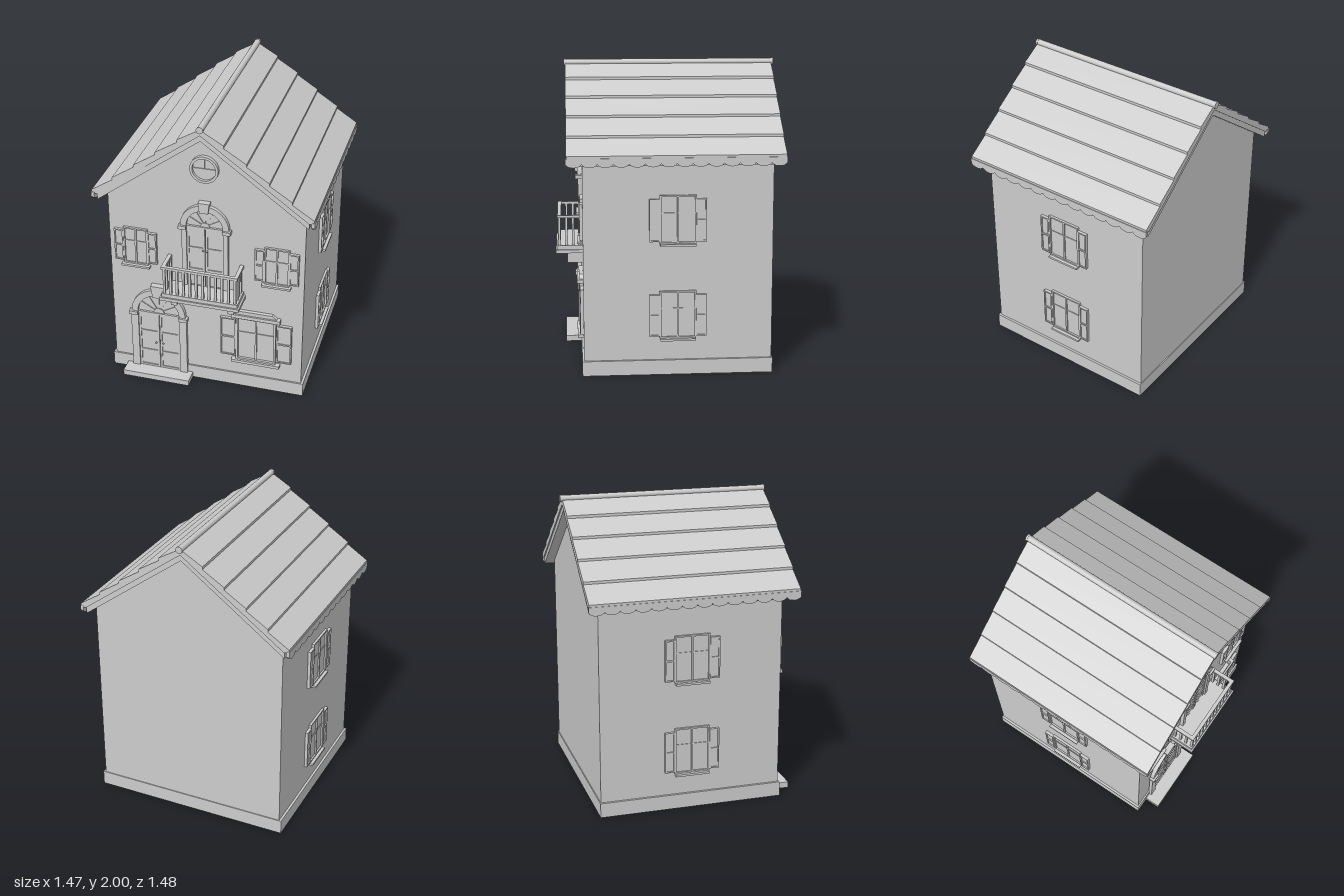
import * as THREE from 'three';

const plaster = new THREE.MeshStandardMaterial({ color: 0xcccccc });
plaster.name = 'plaster grey';

const FRONT = 0.563, BACK = -0.659, SIDE = 0.661;

function add(parent, name, geometry, x = 0, y = 0, z = 0) {
  const mesh = new THREE.Mesh(geometry, plaster);
  mesh.name = name;
  mesh.position.set(x, y, z);
  parent.add(mesh);
  return mesh;
}

// Box given by its limits
function box(parent, name, x0, x1, y0, y1, z0, z1) {
  return add(parent, name, new THREE.BoxGeometry(x1 - x0, y1 - y0, z1 - z0),
    (x0 + x1) / 2, (y0 + y1) / 2, (z0 + z1) / 2);
}

function polygon(points) {
  return new THREE.Shape(points.map(([x, y]) => new THREE.Vector2(x, y)));
}

// Shape in x and y, extruded from z0 to z1
function slab(parent, name, shape, z0, z1) {
  const geometry = new THREE.ExtrudeGeometry(shape, { depth: z1 - z0, bevelEnabled: false, curveSegments: 20 });
  return add(parent, name, geometry, 0, 0, z0);
}

function mirrored(half) {
  return polygon([...half, ...half.slice().reverse().filter(([x]) => x > 0).map(([x, y]) => [-x, y])]);
}

function halfRing(outer, inner, cy) {
  const shape = new THREE.Shape();
  shape.absarc(0, cy, outer, 0, Math.PI, false);
  if (inner > 0) shape.absarc(0, cy, inner, Math.PI, 0, true);
  shape.closePath();
  return shape;
}

// Raised rectangular border
function border(parent, name, x0, x1, y0, y1, w, z0, z1) {
  const shape = polygon([[x0, y0], [x1, y0], [x1, y1], [x0, y1]]);
  shape.holes.push(polygon([[x0 + w, y0 + w], [x0 + w, y1 - w], [x1 - w, y1 - w], [x1 - w, y0 + w]]));
  return slab(parent, name, shape, z0, z1);
}

function shutter(parent, x0, x1, y0, y1) {
  box(parent, 'shutterPanel', x0, x1, y0, y1, 0, 0.012);
  border(parent, 'shutterFrame', x0, x1, y0, y1, 0.009, 0.012, 0.02);
  const mid = (y0 + y1) / 2;
  box(parent, 'shutterRail', x0 + 0.009, x1 - 0.009, mid - 0.005, mid + 0.005, 0.012, 0.02);
}

// Casement window with open shutters and a sill
function shutteredWindow(half, inner, y0, y1, shutterY0, shutterY1, sillY, sillHalf) {
  const g = new THREE.Group();
  g.name = 'shutteredWindow';
  box(g, 'glass', -inner, inner, y0, y1, 0, 0.005);
  border(g, 'windowFrame', -inner, inner, y0, y1, 0.01, 0, 0.016);
  box(g, 'mullion', -0.006, 0.006, y0 + 0.01, y1 - 0.01, 0.004, 0.014);
  for (const s of [-1, 1]) {
    shutter(g, s < 0 ? -half : inner, s < 0 ? -inner : half, shutterY0, shutterY1);
    const y = y0 + (y1 - y0) * 0.62;
    box(g, 'glazingBar', s < 0 ? -inner + 0.01 : 0.006, s < 0 ? -0.006 : inner - 0.01, y, y + 0.006, 0.004, 0.01);
  }
  box(g, 'sill', -sillHalf, sillHalf, sillY, sillY + 0.014, 0, 0.036);
  return g;
}

// Double door under an arched fanlight
function archedDoor(d) {
  const g = new THREE.Group();
  g.name = 'archedDoor';
  const { bottom, spring, inner, outer, jamb, impost, hub, key, knobX, knobY } = d;
  slab(g, 'fanlightGlass', halfRing(inner + 0.002, 0, spring), 0, 0.005);
  slab(g, 'arch', halfRing(outer, inner, spring), 0, 0.028);
  slab(g, 'fanlightHub', halfRing(hub, 0, spring), 0.004, 0.014);
  for (let i = 1; i < 6; i++) {
    const a = i * Math.PI / 6, r = (hub + inner) / 2;
    const bar = add(g, 'fanlightBar', new THREE.BoxGeometry(inner - hub, 0.007, 0.008),
      Math.cos(a) * r, spring + Math.sin(a) * r, 0.008);
    bar.rotation.z = a;
  }
  slab(g, 'keystone', mirrored([[key[0], key[1]], [key[2], key[3]]]), 0, 0.042);
  box(g, 'transom', -inner, inner, spring - 0.014, spring, 0, 0.02);
  for (const s of [-1, 1]) {
    const span = (a, b) => s < 0 ? [-b, -a] : [a, b];
    box(g, 'jamb', ...span(inner, jamb), bottom, spring - 0.025, 0, 0.024);
    box(g, 'impost', ...span(inner, impost), spring - 0.025, spring, 0, 0.042);
    const [x0, x1] = span(0.002, inner), top = spring - 0.014;
    box(g, 'doorLeaf', x0, x1, bottom, top, 0, 0.006);
    border(g, 'doorStile', x0, x1, bottom, top, 0.014, 0.006, 0.013);
    for (const t of [0.3, 0.66]) {
      const y = bottom + (top - bottom) * t;
      box(g, 'doorRail', x0 + 0.014, x1 - 0.014, y - 0.006, y + 0.006, 0.006, 0.013);
    }
    add(g, 'doorKnob', new THREE.SphereGeometry(0.007, 10, 8), s * knobX, knobY, 0.018);
  }
  return g;
}

function place(parent, object, x, z, angle = 0) {
  object.position.set(x, 0, z);
  object.rotation.y = angle;
  parent.add(object);
}

export function createModel() {
  const house = new THREE.Group();
  house.name = 'house';

  // Walls and plinth
  slab(house, 'walls', mirrored([[SIDE, 0.05], [SIDE, 1.415], [0, 1.905]]), BACK, FRONT);
  box(house, 'plinth', -0.677, 0.677, 0, 0.098, -0.665, 0.574);

  // Roof: lower boards, then stepped courses
  slab(house, 'roofBoards', polygon([[0, 1.897], [0.695, 1.38], [0.698, 1.425], [0, 1.942],
    [-0.698, 1.425], [-0.695, 1.38]]), -0.722, 0.655);
  const steps = [[0.73, 1.428], [0.73, 1.45], [0.587, 1.543], [0.587, 1.56], [0.441, 1.655], [0.441, 1.671],
    [0.295, 1.765], [0.295, 1.782], [0.15, 1.872], [0.15, 1.89], [0, 1.978]];
  const under = [[0, 1.938], [0.695, 1.424]];
  for (const s of [-1, 1]) {
    slab(house, 'roofCourses', polygon([...under, ...steps].map(([x, y]) => [s * x, y])), -0.73, 0.662);
  }
  const ridge = add(house, 'ridgeRoll', new THREE.CylinderGeometry(0.021, 0.021, 1.4, 16), 0, 1.977, -0.0375);
  ridge.rotation.x = Math.PI / 2;
  for (const z of [-0.738, 0.663]) {
    const cap = add(house, 'ridgeCap', new THREE.CylinderGeometry(0.023, 0.023, 0.014, 16), 0, 1.977, z);
    cap.rotation.x = Math.PI / 2;
  }

  // Scalloped eaves
  const count = 14, z0 = -0.732, pitch = 1.398 / count;
  const eave = new THREE.Shape();
  eave.moveTo(z0, 1.435);
  eave.lineTo(z0, 1.4);
  for (let i = 0; i < count; i++) {
    const a = z0 + i * pitch;
    eave.bezierCurveTo(a + 0.012, 1.37, a + pitch - 0.012, 1.37, a + pitch, 1.4);
  }
  eave.lineTo(z0 + count * pitch, 1.435);
  for (const s of [-1, 1]) {
    const trim = add(house, 'scallopedEave', new THREE.ExtrudeGeometry(eave,
      { depth: 0.022, bevelEnabled: false, curveSegments: 8 }), s > 0 ? 0.712 : -0.734, 0, 0);
    // Shape x runs along the house, extrusion runs across it
    trim.geometry.rotateY(-Math.PI / 2);
    trim.geometry.translate(0.022, 0, 0);
  }

  // Round gable window
  const rose = new THREE.Group();
  rose.name = 'roundWindow';
  const ring = new THREE.Shape().absarc(0, 1.66, 0.094, 0, Math.PI * 2, false);
  ring.holes.push(new THREE.Path().absarc(0, 1.66, 0.077, 0, Math.PI * 2, true));
  slab(rose, 'roundFrame', ring, 0, 0.026);
  const pane = add(rose, 'roundGlass', new THREE.CylinderGeometry(0.08, 0.08, 0.006, 40), 0, 1.66, 0.003);
  pane.rotation.x = Math.PI / 2;
  box(rose, 'crossBar', -0.078, 0.078, 1.657, 1.663, 0.004, 0.012);
  box(rose, 'uprightBar', -0.003, 0.003, 1.582, 1.738, 0.004, 0.012);
  place(house, rose, 0, FRONT);

  // Doors and entrance step
  place(house, archedDoor({ bottom: 0.765, spring: 1.236, inner: 0.123, outer: 0.164, jamb: 0.156, impost: 0.175,
    hub: 0.031, key: [0.029, 1.353, 0.038, 1.425], knobX: 0.014, knobY: 1.055 }), 0, FRONT);
  place(house, archedDoor({ bottom: 0.04, spring: 0.5, inner: 0.146, outer: 0.19, jamb: 0.197, impost: 0.206,
    hub: 0.037, key: [0.032, 0.64, 0.046, 0.73], knobX: 0.025, knobY: 0.25 }), -0.331, 0.568);
  box(house, 'entranceStep', -0.571, -0.1, 0, 0.04, 0.5, 0.68);

  // Shuttered windows, front and sides
  for (const s of [-1, 1]) {
    place(house, shutteredWindow(0.146, 0.083, 0.872, 1.148, 0.892, 1.127, 0.857, 0.097), s * 0.479, FRONT);
    for (const dy of [0, -0.627]) {
      const side = shutteredWindow(0.184, 0.118, 0.872, 1.186, 0.885, 1.162, 0.857, 0.114);
      place(house, side, s * SIDE, -0.045, s * Math.PI / 2);
      side.position.y = dy;
    }
  }

  // Large ground floor window with hood
  const large = new THREE.Group();
  large.name = 'groundFloorWindow';
  box(large, 'glass', -0.137, 0.137, 0.23, 0.58, 0, 0.008);
  border(large, 'windowFrame', -0.137, 0.137, 0.23, 0.58, 0.014, 0, 0.024);
  box(large, 'mullion', -0.006, 0.006, 0.244, 0.566, 0.006, 0.018);
  for (const [a, b] of [[-0.123, -0.006], [0.006, 0.123]]) box(large, 'glazingBar', a, b, 0.45, 0.458, 0.006, 0.014);
  for (const [a, b] of [[-0.246, -0.141], [0.141, 0.244]]) shutter(large, a, b, 0.252, 0.555);
  box(large, 'sill', -0.167, 0.167, 0.21, 0.231, 0, 0.038);
  box(large, 'cornice', -0.167, 0.167, 0.578, 0.604, 0, 0.038);
  slab(large, 'hood', mirrored([[0.143, 0.604], [0.112, 0.63]]), 0, 0.026);
  place(house, large, 0.347, FRONT);

  // Balcony
  const balcony = new THREE.Group();
  balcony.name = 'balcony';
  box(balcony, 'balconyBase', -0.27, 0.27, 0.725, 0.748, 0.55, 0.738);
  box(balcony, 'balconyFloor', -0.258, 0.258, 0.748, 0.775, 0.55, 0.728);
  box(balcony, 'frontRail', -0.258, 0.258, 0.963, 0.98, 0.702, 0.727);
  for (let i = 0; i < 12; i++) {
    const x = -0.239 + i * 0.478 / 11;
    box(balcony, 'baluster', x - 0.008, x + 0.008, 0.775, 0.963, 0.706, 0.722);
  }
  for (const s of [-1, 1]) {
    box(balcony, 'sideRail', s * 0.2455 - 0.0125, s * 0.2455 + 0.0125, 0.963, 0.98, 0.55, 0.702);
    for (const z of [0.579, 0.623, 0.667]) {
      box(balcony, 'sideBaluster', s * 0.239 - 0.008, s * 0.239 + 0.008, 0.775, 0.963, z - 0.008, z + 0.008);
    }
    box(balcony, 'bracket', s * 0.195 - 0.021, s * 0.195 + 0.021, 0.648, 0.725, 0.55, 0.664);
  }
  house.add(balcony);

  return house;
}
